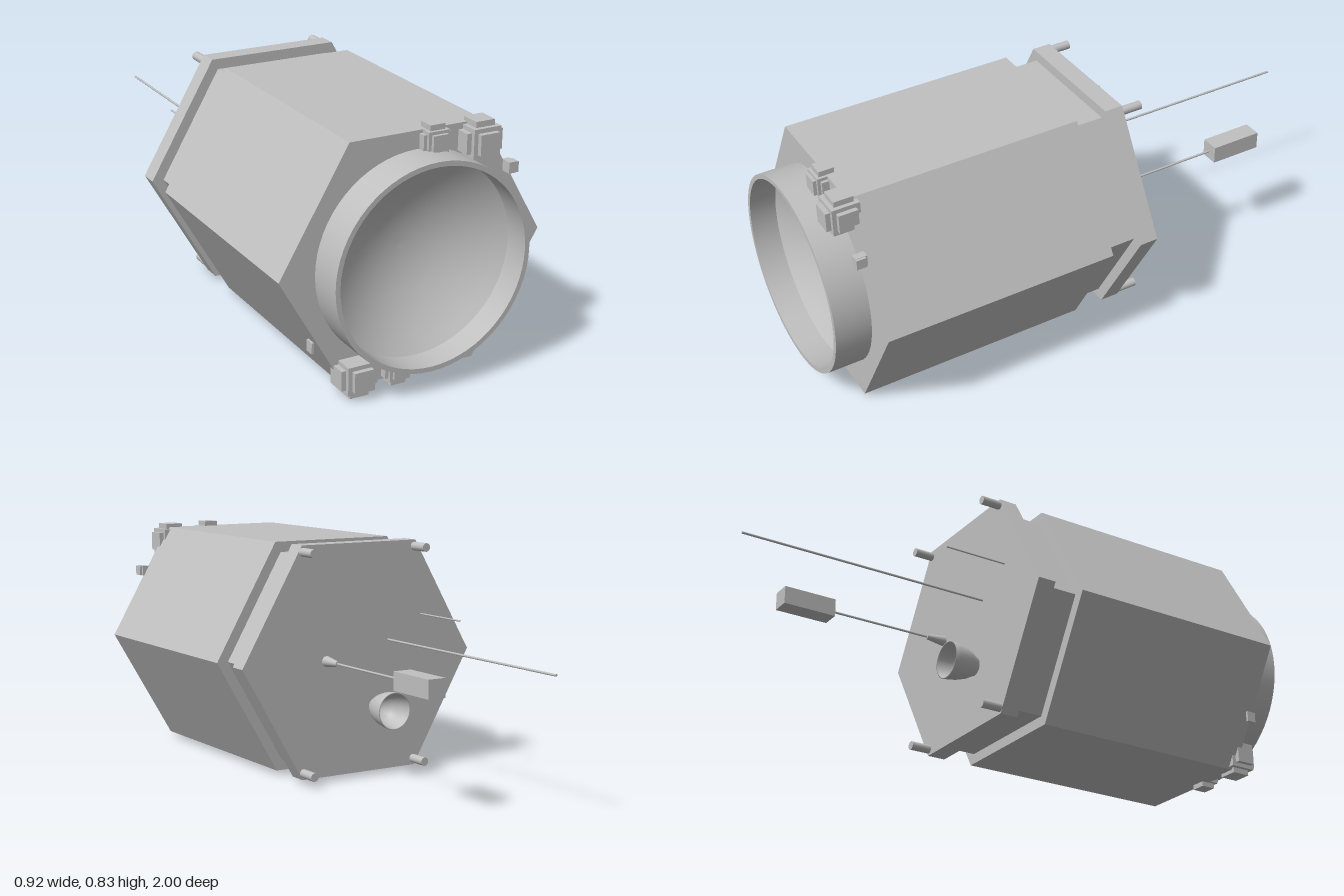
import * as THREE from 'three';

const CY = 0.417; // height of the long axis

export function createModel() {
  const model = new THREE.Group();
  model.name = 'satellite';
  const grey = new THREE.MeshStandardMaterial({ color: 0xc0c0c0, side: THREE.DoubleSide });
  grey.name = 'plain grey';

  const add = (name, geometry, x = 0, y = CY, z = 0, parent = model) => {
    const mesh = new THREE.Mesh(geometry, grey);
    mesh.name = name;
    mesh.position.set(x, y, z);
    parent.add(mesh);
    return mesh;
  };

  // Hexagonal prism along z, with an optional round opening
  const hexPrism = (radius, z0, z1, hole = 0) => {
    const pts = [];
    for (let i = 0; i < 6; i++) {
      const a = (i * Math.PI) / 3;
      pts.push(new THREE.Vector2(radius * Math.cos(a), radius * Math.sin(a)));
    }
    const shape = new THREE.Shape(pts);
    if (hole) shape.holes.push(new THREE.Path().absarc(0, 0, hole, 0, Math.PI * 2, true));
    const g = new THREE.ExtrudeGeometry(shape, { depth: z1 - z0, bevelEnabled: false, curveSegments: 48 });
    return g.translate(0, 0, z0);
  };

  // Lathe profile of [radius, z] points turned to lie along z
  const latheZ = (points, segments) =>
    new THREE.LatheGeometry(points.map(([r, z]) => new THREE.Vector2(r, z)), segments).rotateX(Math.PI / 2);

  // Round bar between two z values
  const barZ = (r0, r1, z0, z1, segments = 12) =>
    new THREE.CylinderGeometry(r1, r0, Math.abs(z1 - z0), segments)
      .rotateX(z1 > z0 ? Math.PI / 2 : -Math.PI / 2).translate(0, 0, (z0 + z1) / 2);

  // Main body, narrow neck and back plate
  add('body', hexPrism(0.458, 0.063, 0.877, 0.33));
  add('neck', hexPrism(0.417, -0.05, 0.07));
  add('backPlate', hexPrism(0.458, -0.11, -0.045));

  // Front collar: outer wall, flat rim and inner wall
  add('collarOuter', latheZ([[0.338, 0.87], [0.338, 1]], 64));
  add('collarRim', new THREE.RingGeometry(0.322, 0.338, 64), 0, CY, 1);
  add('collarInner', latheZ([[0.322, 1], [0.322, 0.91]], 64));

  // Concave dish inside the collar
  const bowl = [];
  for (let i = 0; i <= 12; i++) {
    const r = (0.322 * i) / 12;
    bowl.push([r, 0.79 + 0.12 * (r / 0.322) ** 2]);
  }
  add('dish', latheZ(bowl, 64));

  // Thruster block with caps on its sides and front
  const block = (name, x, y, z, half, cap, reach, up) => {
    const g = new THREE.Group();
    g.name = name;
    g.position.set(x, y, z);
    model.add(g);
    add('blockCore', new THREE.BoxGeometry(half * 2, half * 2, half * 2), 0, 0, 0, g);
    add('sideCaps', new THREE.BoxGeometry(reach * 2, cap * 2, cap * 2), 0, 0, 0, g);
    add('outerCap', new THREE.BoxGeometry(cap * 2, up, cap * 2), 0, up / 2, 0, g);
    add('frontCap', new THREE.BoxGeometry(cap * 2, cap * 2, reach), 0, 0, reach / 2, g);
    return g;
  };
  for (const s of [1, -1]) {
    const big = block('largeThrusterBlock', s * 0.208, CY + s * 0.343, 0.892, 0.047, 0.033, 0.063, 0.066);
    const small = block('smallThrusterBlock', s * 0.056, CY + s * 0.36, 0.875, 0.036, 0.026, 0.047, 0.054);
    if (s < 0) big.rotation.z = small.rotation.z = Math.PI;
  }

  // Small side sensors
  add('sensorBox', new THREE.BoxGeometry(0.026, 0.036, 0.04), 0.325, 0.652, 0.892);
  add('sensorCap', new THREE.BoxGeometry(0.009, 0.034, 0.034), 0.342, 0.652, 0.895);
  add('sensorFin', new THREE.BoxGeometry(0.008, 0.036, 0.034), -0.344, 0.181, 0.862);

  // Four pegs near the corners of the back plate
  for (const x of [-0.225, 0.225])
    for (const y of [0.043, 0.791]) add('peg', barZ(0.015, 0.015, -0.1, -0.182, 16), x, y);

  // Engine bell, open to the rear
  add('engineBell', latheZ([[0.028, -0.1], [0.034, -0.115], [0.048, -0.14], [0.058, -0.17], [0.063, -0.2],
    [0.065, -0.22], [0.061, -0.22], [0.054, -0.175], [0.043, -0.145], [0.024, -0.12], [0, -0.115]], 32), -0.07, 0.244);

  // Antennas, and a boom carrying a box
  add('longAntenna', barZ(0.004, 0.004, -0.1, -1, 8), -0.118, 0.473);
  add('shortAntenna', barZ(0.003, 0.003, -0.1, -0.337, 8), -0.255, 0.553);
  add('boomFoot', barZ(0.02, 0.009, -0.1, -0.18, 16), 0.133, 0.418);
  add('boom', barZ(0.004, 0.004, -0.1, -0.56, 8), 0.133, 0.418);
  add('boomBox', new THREE.BoxGeometry(0.065, 0.062, 0.187), 0.133, 0.418, -0.648);

  return model;
}
